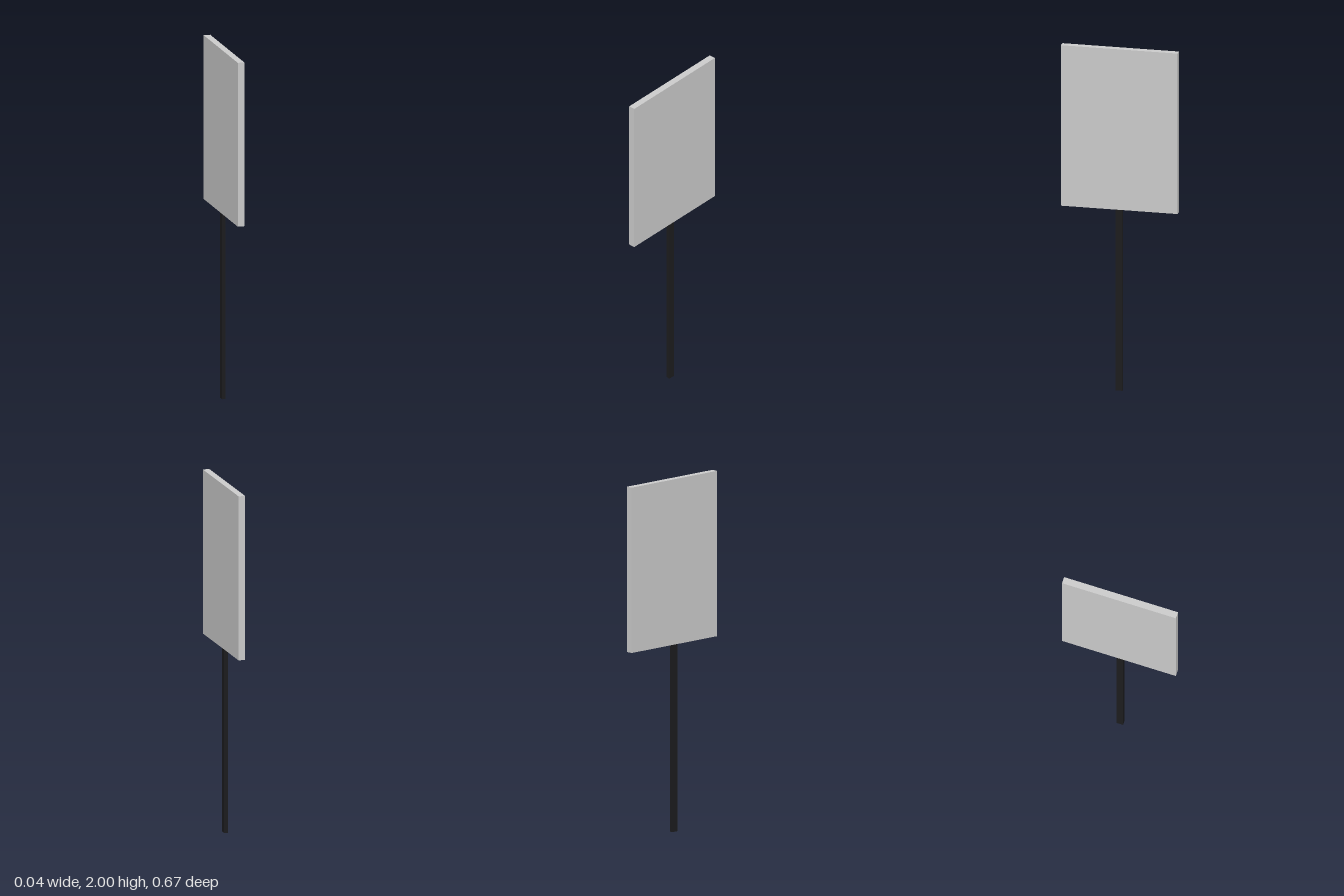
import * as THREE from 'three';

// Adds a named box spanning the given min and max corners.
function addBox(group, name, min, max, color) {
  const size = max.map((v, i) => v - min[i]);
  const mesh = new THREE.Mesh(
    new THREE.BoxGeometry(...size),
    new THREE.MeshStandardMaterial({ color })
  );
  mesh.name = name;
  mesh.position.set(...max.map((v, i) => (v + min[i]) / 2));
  group.add(mesh);
}

export function createModel() {
  const group = new THREE.Group();
  group.name = 'signboard';

  // Flat rectangular board facing the sides
  addBox(group, 'board', [-0.019, 1.062, -0.333], [0.019, 2, 0.333], 0xcccccc);

  // Slim dark post, set slightly off the board's centre
  addBox(group, 'post', [-0.018, 0, -0.014], [0.003, 1.062, 0.024], 0x1c1c1e);

  return group;
}
